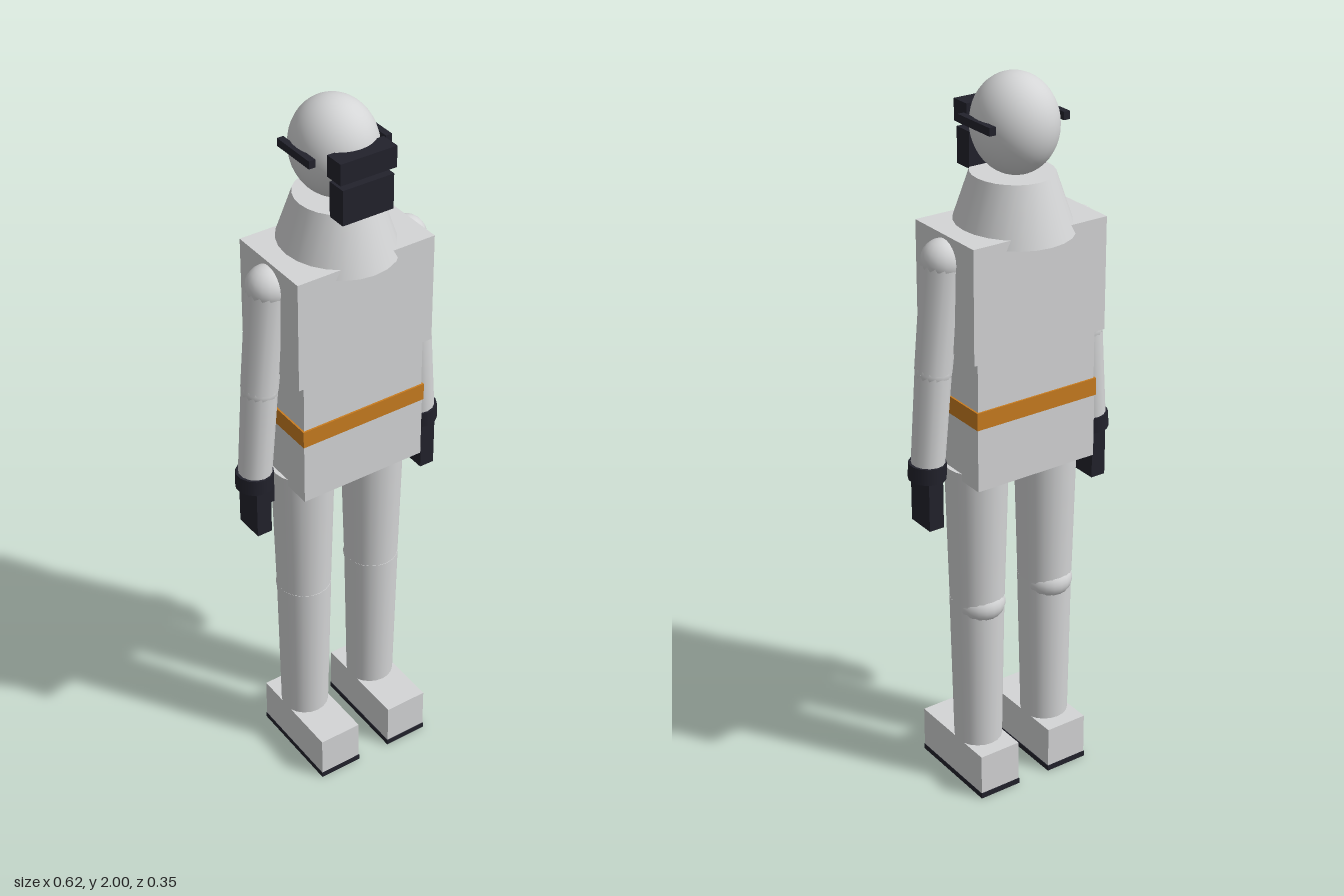
import * as THREE from 'three';

export function createModel() {
  const model = new THREE.Group();
  model.name = 'suitedFigure';
  const material = (name, color) => {
    const m = new THREE.MeshStandardMaterial({ color });
    m.name = name;
    return m;
  };
  const suit = material('paleGreySuit', 0xd4d5d6);
  const dark = material('darkRubber', 0x22222c);
  const orange = material('orangeBelt', 0xc87c20);

  const add = (name, geometry, mat) => {
    const mesh = new THREE.Mesh(geometry, mat);
    mesh.name = name;
    model.add(mesh);
    return mesh;
  };
  // Box given by its lower and upper limits on each axis
  const box = (name, mat, [x0, x1], [y0, y1], [z0, z1]) => {
    const mesh = add(name, new THREE.BoxGeometry(Math.abs(x1 - x0), y1 - y0, z1 - z0), mat);
    mesh.position.set((x0 + x1) / 2, (y0 + y1) / 2, (z0 + z1) / 2);
    return mesh;
  };
  const ball = (name, mat, [x, y, z], [rx, ry, rz], segments = 16) => {
    const mesh = add(name, new THREE.SphereGeometry(1, segments, Math.ceil(segments * 0.75)), mat);
    mesh.position.set(x, y, z);
    mesh.scale.set(rx, ry, rz);
    return mesh;
  };
  // Tapered limb between two points
  const limb = (name, mat, top, bottom, rTop, rBottom, sides = 14) => {
    const a = new THREE.Vector3(...top), b = new THREE.Vector3(...bottom);
    const mesh = add(name, new THREE.CylinderGeometry(rTop, rBottom, a.distanceTo(b), sides), mat);
    mesh.position.copy(a).add(b).multiplyScalar(0.5);
    mesh.quaternion.setFromUnitVectors(new THREE.Vector3(0, 1, 0), a.sub(b).normalize());
    return mesh;
  };

  // Torso and belt
  box('chest', suit, [-0.2, 0.2], [1.32, 1.625], [-0.133, 0.122]);
  box('waist', suit, [-0.18, 0.18], [1.14, 1.32], [-0.118, 0.112]);
  box('hips', suit, [-0.182, 0.182], [0.96, 1.14], [-0.12, 0.114]);
  box('belt', orange, [-0.185, 0.185], [1.135, 1.183], [-0.123, 0.117]);

  // Flared hood collar and head
  const collar = add('hoodCollar', new THREE.CylinderGeometry(0.105, 0.154, 0.15, 24), suit);
  collar.position.set(0, 1.675, -0.011);
  collar.scale.z = 1.08;
  ball('head', suit, [0, 1.873, -0.02], [0.108, 0.127, 0.118], 32);

  // Face mask
  box('goggles', dark, [-0.08, 0.08], [1.855, 1.912], [0.07, 0.125]);
  box('respirator', dark, [-0.073, 0.073], [1.745, 1.84], [0.07, 0.124]);

  for (const s of [1, -1]) {
    const side = s > 0 ? 'left' : 'right';
    box(side + 'Strap', dark, [s * 0.1, s * 0.118], [1.877, 1.898], [-0.084, 0.051]);

    // Arm
    ball(side + 'Shoulder', suit, [s * 0.205, 1.56, -0.005], [0.055, 0.055, 0.055]);
    limb(side + 'UpperArm', suit, [s * 0.205, 1.56, -0.005], [s * 0.236, 1.27, -0.003], 0.053, 0.048);
    ball(side + 'Elbow', suit, [s * 0.236, 1.27, -0.003], [0.048, 0.048, 0.048]);
    limb(side + 'Forearm', suit, [s * 0.236, 1.27, -0.003], [s * 0.258, 1, -0.002], 0.047, 0.044);

    // Glove
    limb(side + 'GloveCuff', dark, [s * 0.258, 1.02, -0.002], [s * 0.26, 0.976, -0.002], 0.05, 0.05);
    box(side + 'Hand', dark, [s * 0.238, s * 0.281], [0.842, 0.98], [-0.043, 0.042]);
    box(side + 'Thumb', dark, [s * 0.22, s * 0.24], [0.925, 0.978], [-0.01, 0.03]);

    // Leg
    limb(side + 'Thigh', suit, [s * 0.11, 0.98, -0.005], [s * 0.111, 0.58, -0.005], 0.084, 0.074, 20);
    ball(side + 'Knee', suit, [s * 0.111, 0.565, -0.015], [0.07, 0.055, 0.072], 20);
    limb(side + 'Shin', suit, [s * 0.111, 0.58, -0.004], [s * 0.112, 0.13, -0.006], 0.074, 0.066, 20);

    // Boot
    box(side + 'Boot', suit, [s * 0.051, s * 0.174], [0.014, 0.135], [-0.113, 0.174]);
    box(side + 'Sole', dark, [s * 0.049, s * 0.175], [0, 0.016], [-0.115, 0.176]);
  }
  return model;
}
